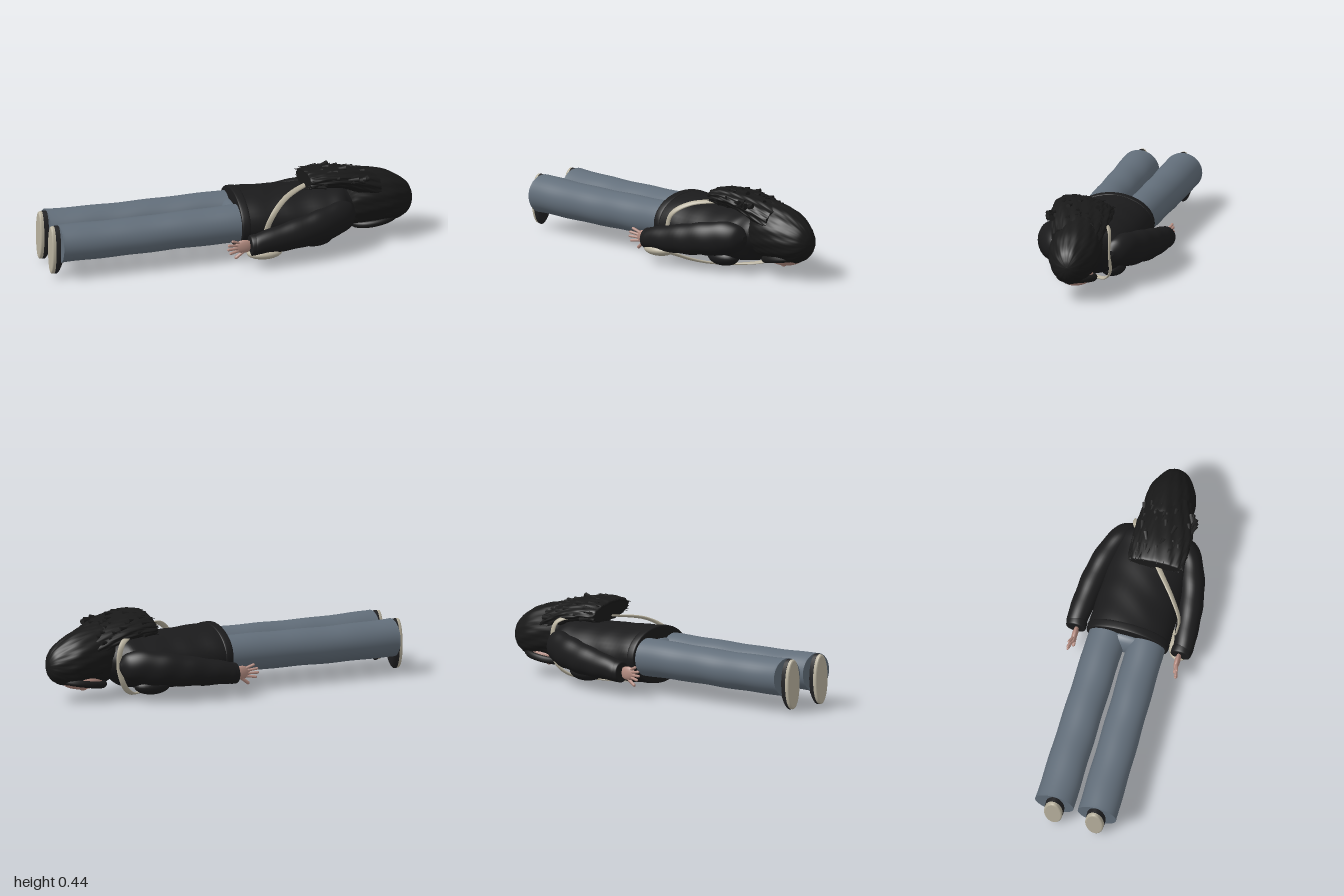
import * as THREE from 'three';

const mat = (name, color, side = THREE.FrontSide) => {
  const m = new THREE.MeshStandardMaterial({ color, side });
  m.name = name;
  return m;
};

// Skin a list of closed rings, with flat end caps
function skin(rings, closed = false) {
  const n = rings[0].length, pos = [], idx = [];
  rings.forEach(r => r.forEach(p => pos.push(p.x, p.y, p.z)));
  const spans = closed ? rings.length : rings.length - 1;
  for (let i = 0; i < spans; i++) {
    const i2 = (i + 1) % rings.length;
    for (let j = 0; j < n; j++) {
      const k = (j + 1) % n;
      const a = i * n + j, b = i * n + k, c = i2 * n + j, d = i2 * n + k;
      idx.push(a, b, c, b, d, c);
    }
  }
  if (!closed) [rings[0], rings[rings.length - 1]].forEach((r, end) => {
    const base = pos.length / 3;
    const mid = r.reduce((s, p) => s.add(p), new THREE.Vector3()).divideScalar(n);
    [...r, mid].forEach(p => pos.push(p.x, p.y, p.z));
    for (let j = 0; j < n; j++) {
      const k = (j + 1) % n;
      if (end) idx.push(base + n, base + j, base + k);
      else idx.push(base + n, base + k, base + j);
    }
  });
  const g = new THREE.BufferGeometry();
  g.setAttribute('position', new THREE.Float32BufferAttribute(pos, 3));
  g.setIndex(idx);
  g.computeVertexNormals();
  return g;
}

// Loft along x through sections [x, centreY, centreZ, radiusY, radiusZ]
function loft(sections, { steps = 40, sides = 40, tilt = 0, ripple = () => 0 } = {}) {
  const at = (t, c) => {
    const f = t * (sections.length - 1), i = Math.min(Math.floor(f), sections.length - 2), u = f - i;
    const v = k => sections[Math.max(0, Math.min(sections.length - 1, k))][c];
    const m0 = (v(i + 1) - v(i - 1)) / 2, m1 = (v(i + 2) - v(i)) / 2;
    const u2 = u * u, u3 = u2 * u;
    return (2 * u3 - 3 * u2 + 1) * v(i) + (u3 - 2 * u2 + u) * m0 + (3 * u2 - 2 * u3) * v(i + 1) + (u3 - u2) * m1;
  };
  const rings = [];
  for (let s = 0; s <= steps; s++) {
    const [x, cy, cz, ry, rz] = [0, 1, 2, 3, 4].map(c => at(s / steps, c));
    rings.push(Array.from({ length: sides }, (_, j) => {
      const a = j / sides * Math.PI * 2, k = 1 + ripple(x, a);
      const dz = Math.max(rz, 0.001) * k * Math.sin(a);
      return new THREE.Vector3(x, cy + Math.max(ry, 0.001) * k * Math.cos(a) + tilt * dz, cz + dz);
    }));
  }
  return skin(rings);
}

// Flat strap around the body, its face turned outward
function strapGeometry(points, width, thick) {
  const curve = new THREE.CatmullRomCurve3(points.map(p => new THREE.Vector3(...p)), true);
  const rings = [];
  for (let s = 0; s < 120; s++) {
    const p = curve.getPointAt(s / 120), t = curve.getTangentAt(s / 120);
    const nrm = new THREE.Vector3(0, p.y - 0.18, p.z);
    nrm.addScaledVector(t, -nrm.dot(t)).normalize();
    const b = t.clone().cross(nrm);
    rings.push(Array.from({ length: 10 }, (_, j) => {
      const a = j / 10 * Math.PI * 2;
      return p.clone().addScaledVector(nrm, Math.cos(a) * thick).addScaledVector(b, Math.sin(a) * width);
    }));
  }
  return skin(rings, true);
}

export function createModel() {
  const root = new THREE.Group();
  const jacket = mat('jacket black', 0x1b1b1c);
  const hair = mat('hair black', 0x191919);
  const denim = mat('denim blue', 0x626e7a);
  const skinTone = mat('skin', 0xb58d82);
  const lipTone = mat('lips', 0x9c7069);
  const cream = mat('cream', 0xb9b29f);
  const shoe = mat('shoe black', 0x222224);

  const add = (name, geo, m, parent = root) => {
    const mesh = new THREE.Mesh(geo, m);
    mesh.name = name;
    parent.add(mesh);
    return mesh;
  };
  const ball = (name, m, p, r, parent = root) => {
    const b = add(name, new THREE.SphereGeometry(1, 28, 18), m, parent);
    b.position.set(...p);
    b.scale.set(...r);
    return b;
  };
  let seed = 7;
  const rnd = () => (seed = (seed * 16807) % 2147483647) / 2147483647;

  // Jacket body with hem band
  const folds = (x, a) => 0.008 * Math.sin(x * 40 + 3 * Math.sin(a * 2));
  add('jacketBody', loft([
    [0.03, 0.19, 0, 0.148, 0.215], [0.1, 0.185, 0, 0.152, 0.22], [0.25, 0.18, 0, 0.15, 0.215],
    [0.4, 0.178, 0, 0.147, 0.212], [0.5, 0.185, 0, 0.14, 0.21], [0.58, 0.19, 0, 0.132, 0.2],
    [0.63, 0.2, 0, 0.105, 0.14], [0.69, 0.21, 0, 0.09, 0.09],
  ], { ripple: folds }), jacket);
  add('jacketHem', loft([
    [0.018, 0.19, 0, 0.145, 0.212], [0.024, 0.19, 0, 0.152, 0.22],
    [0.058, 0.188, 0, 0.153, 0.222], [0.064, 0.188, 0, 0.147, 0.214],
  ], { steps: 12 }), jacket);
  ball('hips', denim, [0.02, 0.19, 0], [0.06, 0.085, 0.17]);

  for (const s of [1, -1]) {
    const side = s > 0 ? 'left' : 'right';

    // Trouser leg
    add(side + 'TrouserLeg', loft([
      [-0.955, 0.186, 0.116 * s, 0.101, 0.105], [-0.9, 0.186, 0.115 * s, 0.099, 0.104],
      [-0.6, 0.184, 0.113 * s, 0.097, 0.102], [-0.3, 0.188, 0.11 * s, 0.097, 0.1],
      [0, 0.19, 0.106 * s, 0.1, 0.1], [0.08, 0.19, 0.104 * s, 0.1, 0.1],
    ], { ripple: (x, a) => 0.012 * Math.sin(x * 22 + 2 * Math.sin(a + s)) }), denim);

    // Shoe with pale sole
    add(side + 'Sole', loft([
      [-1, 0.153, 0.112 * s, 0.122, 0.042], [-0.995, 0.153, 0.112 * s, 0.131, 0.049],
      [-0.978, 0.153, 0.112 * s, 0.131, 0.049],
    ], { steps: 8 }), cream);
    add(side + 'Shoe', loft([
      [-0.98, 0.153, 0.112 * s, 0.133, 0.05], [-0.965, 0.153, 0.112 * s, 0.132, 0.051],
      [-0.948, 0.165, 0.112 * s, 0.117, 0.05], [-0.93, 0.19, 0.112 * s, 0.08, 0.046],
    ], { steps: 14 }), shoe);

    // Sleeve and cuff
    add(side + 'Sleeve', loft([
      [0.05, 0.13, 0.285 * s, 0.05, 0.05], [0.1, 0.137, 0.288 * s, 0.06, 0.056],
      [0.3, 0.16, 0.265 * s, 0.08, 0.066], [0.45, 0.18, 0.23 * s, 0.088, 0.07],
      [0.55, 0.19, 0.19 * s, 0.088, 0.07], [0.62, 0.195, 0.16 * s, 0.065, 0.055],
      [0.65, 0.195, 0.145 * s, 0.015, 0.015],
    ], { ripple: (x, a) => 0.025 * Math.sin(x * 45 + 2 * Math.cos(a)) }), jacket);
    add(side + 'Cuff', loft([
      [0.038, 0.128, 0.284 * s, 0.049, 0.047], [0.044, 0.128, 0.284 * s, 0.055, 0.053],
      [0.075, 0.131, 0.286 * s, 0.057, 0.055], [0.082, 0.132, 0.286 * s, 0.052, 0.05],
    ], { steps: 10 }), jacket);
    ball(side + 'Chest', jacket, [0.44, 0.065, 0.105 * s], [0.1, 0.046, 0.065]);

    // Hand: palm, four fingers and a thumb
    const hand = new THREE.Group();
    hand.name = side + 'Hand';
    root.add(hand);
    ball('palm', skinTone, [0.005, 0.125, 0.278 * s], [0.05, 0.036, 0.015], hand);
    const digit = (name, from, to, r) => {
      const a = new THREE.Vector3(...from), b = new THREE.Vector3(...to);
      const f = add(name, new THREE.CapsuleGeometry(r, a.distanceTo(b), 4, 8), skinTone, hand);
      f.position.copy(a).add(b).multiplyScalar(0.5);
      f.quaternion.setFromUnitVectors(new THREE.Vector3(0, 1, 0), b.sub(a).normalize());
    };
    for (let i = 0; i < 4; i++) {
      const reach = [-0.07, -0.082, -0.078, -0.058][i];
      digit('finger', [-0.02, 0.105 + i * 0.014, 0.28 * s], [reach, 0.098 + i * 0.022, 0.293 * s], 0.0075);
    }
    digit('thumb', [0.01, 0.1, 0.276 * s], [-0.035, 0.066, 0.275 * s], 0.009);
  }

  // Shoulder bag and strap
  ball('bag', cream, [0.12, 0.078, 0.27], [0.095, 0.033, 0.065]);
  add('bagStrap', strapGeometry([
    [0.14, 0.08, 0.245], [0.2, 0.042, 0.19], [0.3, 0.012, 0.1], [0.45, 0.013, 0], [0.56, 0.035, -0.095],
    [0.62, 0.09, -0.134], [0.65, 0.2, -0.136], [0.63, 0.305, -0.132], [0.58, 0.335, -0.1],
    [0.48, 0.337, 0], [0.38, 0.345, 0.08], [0.26, 0.328, 0.18], [0.18, 0.27, 0.238], [0.14, 0.17, 0.235],
  ], 0.015, 0.006), cream);

  // Hair over the head, then the loose mass thrown up over the back
  const strands = (x, a) => 0.014 * Math.sin(a * 13 + x * 20) + 0.008 * Math.sin(a * 29 - x * 35);
  add('headHair', loft([
    [0.63, 0.22, 0.01, 0.1, 0.09], [0.67, 0.24, 0.012, 0.15, 0.118], [0.75, 0.237, 0.015, 0.15, 0.132],
    [0.85, 0.223, 0.01, 0.136, 0.128], [0.92, 0.208, 0.008, 0.114, 0.1], [0.97, 0.203, 0.005, 0.08, 0.068],
    [0.993, 0.2, 0.003, 0.04, 0.034], [1, 0.2, 0.002, 0.004, 0.004],
  ], { steps: 60, sides: 96, ripple: strands }), hair);
  add('looseHair', loft([
    [0.4, 0.372, 0.045, 0.035, 0.13], [0.41, 0.375, 0.045, 0.052, 0.145], [0.5, 0.377, 0.042, 0.056, 0.152],
    [0.6, 0.362, 0.036, 0.058, 0.152], [0.7, 0.325, 0.025, 0.072, 0.138], [0.8, 0.28, 0.015, 0.08, 0.118],
  ], { steps: 50, sides: 96, tilt: 0.15, ripple: (x, a) => 2 * strands(x, a) }), hair);

  // Ragged locks at the ends and along the surface
  const locks = new THREE.Group();
  locks.name = 'hairLocks';
  root.add(locks);
  const lockGeo = new THREE.ConeGeometry(0.013, 0.1, 6).rotateZ(Math.PI / 2);
  for (let i = 0; i < 60; i++) {
    const end = i < 24, x = end ? 0.438 : 0.46 + rnd() * 0.24;
    const a = end ? rnd() * Math.PI * 2 : (rnd() - 0.5) * 3;
    const drop = Math.max(0, x - 0.55) * 0.3;
    const z = 0.042 + 0.142 * Math.sin(a);
    const l = add('lock', lockGeo, hair, locks);
    l.position.set(x, 0.375 - drop + 0.05 * Math.cos(a) + 0.15 * (z - 0.042), z);
    l.rotation.set(0, (rnd() - 0.5) * 0.7, (rnd() - 0.5) * 0.2);
  }

  // Face looking down, framed by hair
  ball('face', skinTone, [0.8, 0.112, 0], [0.115, 0.05, 0.085]);
  ball('nose', skinTone, [0.79, 0.064, 0], [0.022, 0.012, 0.012]);
  ball('lips', lipTone, [0.742, 0.07, 0], [0.009, 0.005, 0.022]);
  const rim = Array.from({ length: 16 }, (_, i) => {
    const a = i / 16 * Math.PI * 2;
    return new THREE.Vector3(0.795 + 0.115 * Math.cos(a), 0.1 + 0.018 * Math.cos(a), 0.086 * Math.sin(a));
  });
  add('faceFrame', new THREE.TubeGeometry(new THREE.CatmullRomCurve3(rim, true), 64, 0.019, 10, true), hair);

  return root;
}
